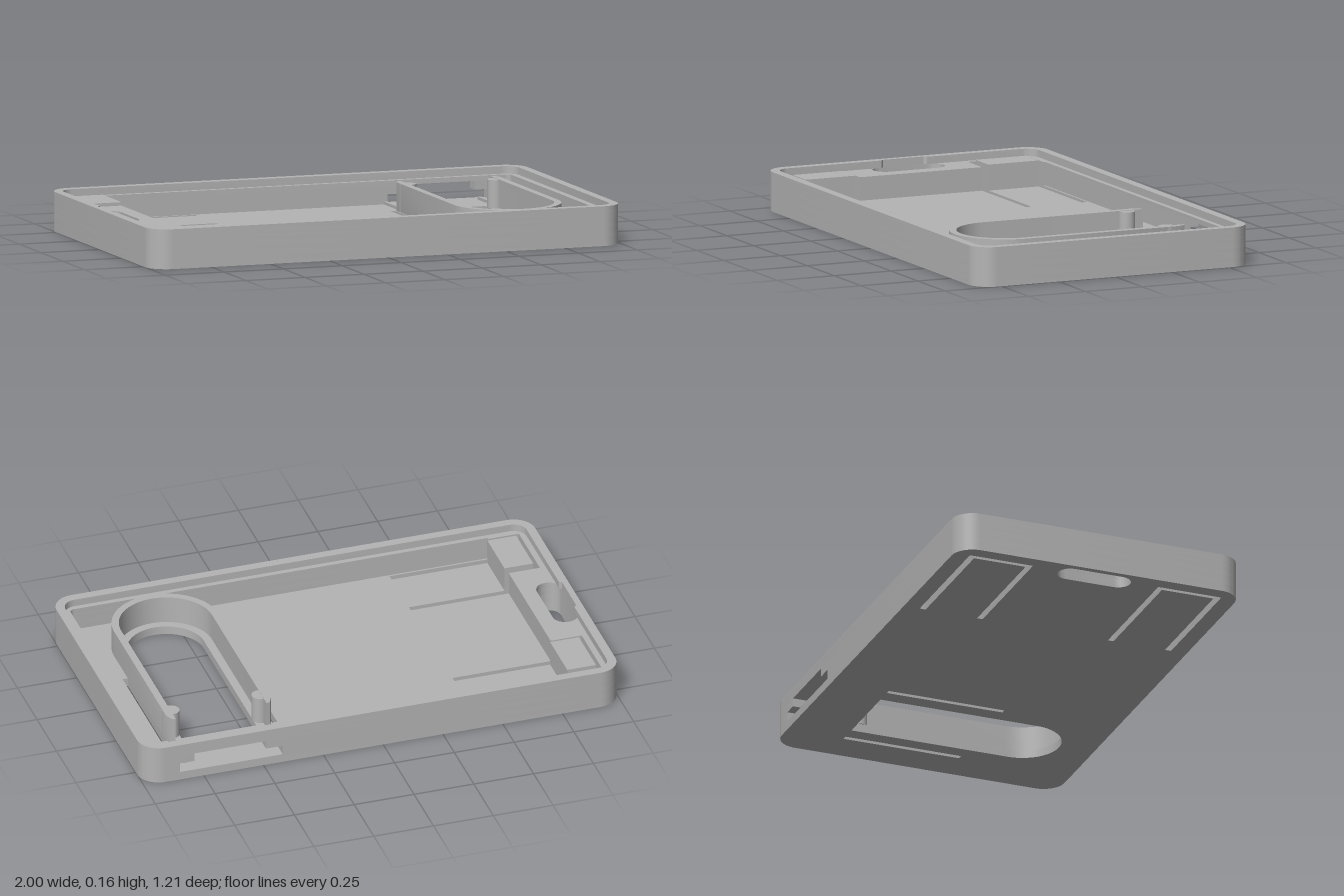
import * as THREE from 'three';
import { toCreasedNormals } from 'three/addons/utils/BufferGeometryUtils.js';

const FLOOR = 0.035, LEDGE = 0.13, TOP = 0.16, WALL = 0.15;
const UX = 0.609, UZ = 0.305; // centre of the round end of the window
const PI = Math.PI;

const pts = (list) => list.map(([x, z]) => new THREE.Vector2(x, z));

// Points along an arc, in the x-z plane
function arc(cx, cz, r, a0, a1, n = 12) {
  return Array.from({ length: n + 1 }, (_, i) => {
    const a = a0 + (a1 - a0) * i / n;
    return [cx + r * Math.cos(a), cz + r * Math.sin(a)];
  });
}

// Rounded rectangle, starting and ending on its back edge (z = -d)
function roundRect(w, d, r) {
  return [
    ...arc(w - r, -d + r, r, -PI / 2, 0), ...arc(w - r, d - r, r, 0, PI / 2),
    ...arc(-w + r, d - r, r, PI / 2, PI), ...arc(-w + r, -d + r, r, PI, 1.5 * PI),
  ];
}

const rect = (x0, x1, z0, z1) => [[x0, z0], [x1, z0], [x1, z1], [x0, z1]];

// Round-ended window outline with its straight end at zBack
const windowOutline = (r, zBack) => [[UX + r, zBack], ...arc(UX, UZ, r, 0, PI, 32), [UX - r, zBack]];

// Stands an x-z outline up between two heights
function slab(outline, holes, y0, y1) {
  const shape = new THREE.Shape(pts(outline));
  shape.holes = holes.map((h) => new THREE.Path(pts(h)));
  const geo = new THREE.ExtrudeGeometry(shape, { depth: y1 - y0, bevelEnabled: false });
  geo.rotateX(PI / 2).translate(0, y1, 0);
  return toCreasedNormals(geo, 0.5);
}

export function createModel() {
  const group = new THREE.Group();
  const grey = new THREE.MeshStandardMaterial({ color: 0xb4b4b4 });
  grey.name = 'grey plastic';
  const add = (name, geo) => {
    const mesh = new THREE.Mesh(geo, grey);
    mesh.name = name;
    group.add(mesh);
    return mesh;
  };

  const outer = roundRect(1, 0.605, 0.09);
  const strapSlot = [
    ...arc(-0.924, 0.103, 0.051, 0, PI), ...arc(-0.924, -0.103, 0.051, PI, 2 * PI),
  ];

  // U-shaped cut that frees a springy tongue in the floor
  const tongueCut = (s) => [
    [-0.94, 0.268], [-0.40, 0.268], [-0.40, 0.292], [-0.92, 0.292],
    [-0.92, 0.512], [-0.40, 0.512], [-0.40, 0.538], [-0.94, 0.538],
  ].map(([x, z]) => [x, s * z]);

  // Floor with all its openings
  add('floor', slab(outer, [
    strapSlot, tongueCut(1), tongueCut(-1), windowOutline(0.156, -0.365),
    rect(0.365, 0.386, -0.365, 0.13), rect(0.828, 0.85, -0.365, 0.13),
  ], 0, FLOOR));

  // Inner cavity, with bays in the end platform around the two tongues
  const cavity = [
    ...arc(0.917, -0.526, 0.02, -PI / 2, 0, 6), ...arc(0.917, 0.526, 0.02, 0, PI / 2, 6),
    [-0.81, 0.546], [-0.81, 0.538], [-0.94, 0.538], [-0.94, 0.268], [-0.81, 0.268],
    [-0.81, -0.268], [-0.94, -0.268], [-0.94, -0.538], [-0.81, -0.538], [-0.81, -0.546],
  ];

  // Walls and end platform; a port opening splits the outline at the back
  const walls = (name, y0, y1, port) => {
    if (!port) return add(name, slab(outer, [cavity, strapSlot], y0, y1));
    const [x0, x1] = port;
    const outline = [
      [x1, -0.605], ...outer, [x0, -0.605],
      [x0, -0.546], ...[...cavity].reverse(), [x1, -0.546],
    ];
    return add(name, slab(outline, [strapSlot], y0, y1));
  };
  walls('lowerWalls', FLOOR, 0.075, [0.42, 0.85]);
  walls('middleWalls', 0.075, 0.11, [0.49, 0.79]);
  walls('upperWalls', 0.11, LEDGE, null);

  // Thin raised rim around the ledge, relieved at the strap slot
  const rimInner = roundRect(0.964, 0.567, 0.055);
  rimInner.splice(39, 0, [-0.964, 0.1], [-0.975, 0.09], [-0.975, -0.09], [-0.964, -0.1]);
  add('rim', slab(outer, [rimInner], LEDGE, TOP));

  // Blocks on the tips of the tongues
  for (const s of [1, -1]) {
    const block = add('tongueBlock', new THREE.BoxGeometry(0.12, 0.14 - FLOOR, 0.22));
    block.position.set(-0.86, (0.14 + FLOOR) / 2, s * 0.402);
  }

  // Wall around the window, with tapered free ends
  const uWall = [
    [UX + 0.19, -0.395], [UX + 0.205, -0.392], [UX + 0.219, -0.36],
    ...arc(UX, UZ, 0.219, 0, PI, 32),
    [UX - 0.219, -0.36], [UX - 0.205, -0.392], [UX - 0.19, -0.395],
    ...arc(UX, UZ, 0.19, PI, 0, 32),
  ];
  add('windowWall', slab(uWall, [], FLOOR, WALL));

  // Retaining posts and low ridges leading to the port
  for (const s of [1, -1]) {
    const post = add('retainingPost', new THREE.CylinderGeometry(0.034, 0.034, WALL - FLOOR - 0.002, 24));
    post.position.set(UX + s * 0.186, (WALL + FLOOR) / 2 - 0.001, -0.322);
    const ridge = add('portRidge', new THREE.BoxGeometry(0.014, 0.012, 0.156));
    ridge.position.set(UX + s * 0.198, FLOOR + 0.006, -0.468);
  }

  return group;
}
